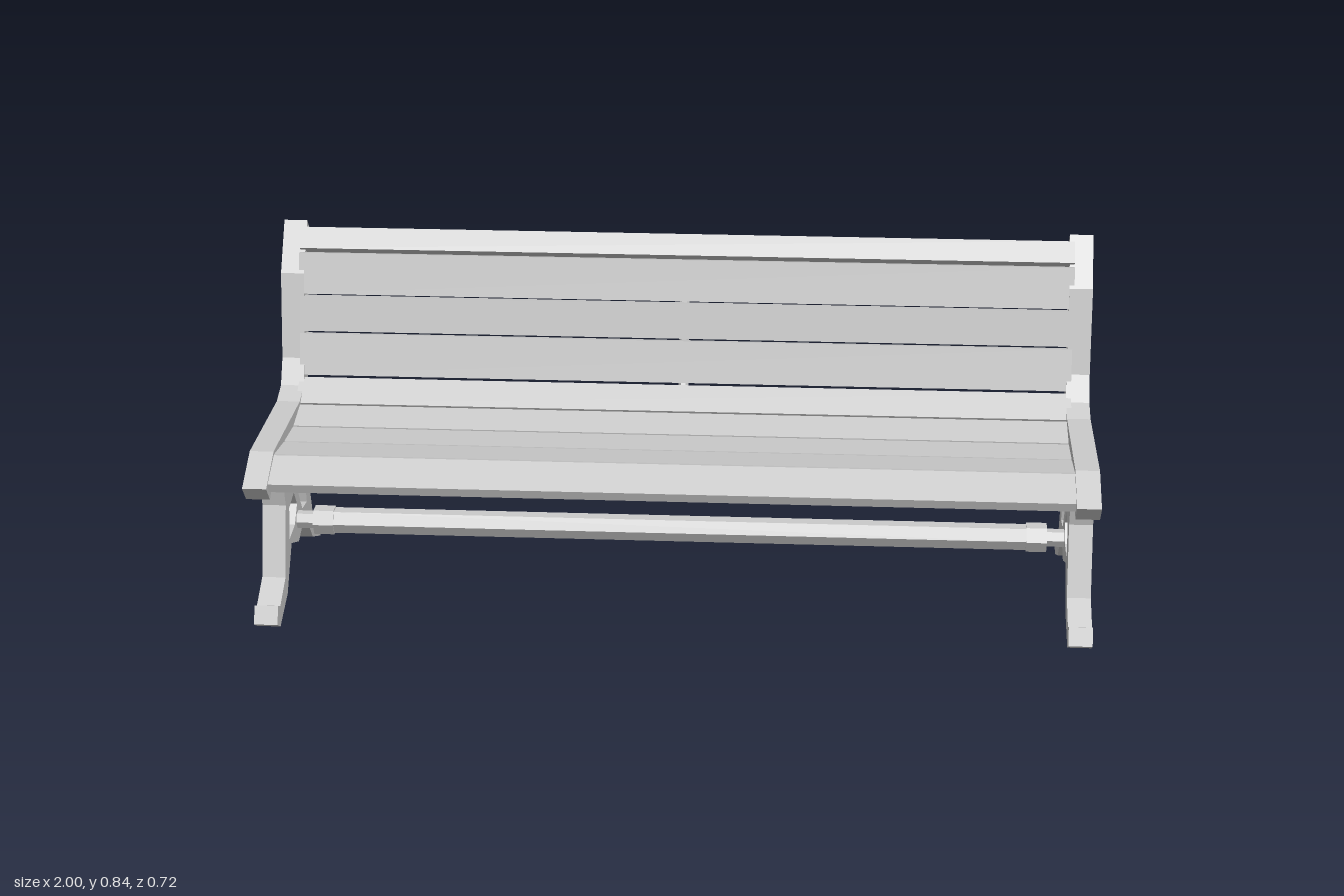
import * as THREE from 'three';

const material = new THREE.MeshStandardMaterial({ color: 0xcccccc, flatShading: true });
const toVectors = (points) => points.map(([z, y]) => new THREE.Vector2(z, y));

// Extrude a side profile given as [z, y] points along x, centred on x = 0
function extrudeProfile(points, width, holes = []) {
  const shape = new THREE.Shape(toVectors(points));
  holes.forEach((h) => shape.holes.push(new THREE.Path(toVectors(h))));
  const geometry = new THREE.ExtrudeGeometry(shape, { depth: width, bevelEnabled: false });
  return geometry.translate(0, 0, -width / 2).rotateY(-Math.PI / 2);
}

function addMesh(parent, name, geometry, x = 0, y = 0, z = 0) {
  const mesh = new THREE.Mesh(geometry, material);
  mesh.name = name;
  mesh.position.set(x, y, z);
  parent.add(mesh);
  return mesh;
}

// A board whose visible face runs from a to b, with its thickness behind it
function slatGeometry(a, b, width, thickness = 0.025, gap = 0.003) {
  const start = new THREE.Vector2(...a), end = new THREE.Vector2(...b);
  const dir = end.clone().sub(start).normalize();
  const back = new THREE.Vector2(dir.y, -dir.x).multiplyScalar(-thickness);
  start.addScaledVector(dir, gap);
  end.addScaledVector(dir, -gap);
  const corners = [start, end, end.clone().add(back), start.clone().add(back)];
  return extrudeProfile(corners.map((c) => [c.x, c.y]), width);
}

export function createModel() {
  const bench = new THREE.Group();
  bench.name = 'bench';

  // Cast end frames: feet, legs, seat panel, curled front and back upright
  const frameOutline = [
    [0.31, 0.02], [0.275, 0], [0.17, 0.04], [0.092, 0.14], [0, 0.105], [-0.09, 0.14],
    [-0.18, 0.04], [-0.28, 0], [-0.315, 0.022], [-0.298, 0.06], [-0.27, 0.05],
    [-0.197, 0.09], [-0.147, 0.255], [-0.183, 0.41], [-0.232, 0.485], [-0.285, 0.71],
    [-0.297, 0.753], [-0.357, 0.787], [-0.302, 0.844], [-0.225, 0.73], [-0.19, 0.52],
    [-0.155, 0.46], [-0.095, 0.44], [0.25, 0.444], [0.358, 0.392], [0.32, 0.35],
    [0.25, 0.4], [0.17, 0.37], [0.14, 0.26], [0.187, 0.09], [0.265, 0.05], [0.292, 0.062],
  ];
  const frameHoles = [
    [[0.1, 0.237], [0.035, 0.25], [0.002, 0.207], [0.04, 0.167], [0.115, 0.16]],
    [[-0.022, 0.225], [-0.1, 0.255], [-0.125, 0.16], [-0.062, 0.167]],
  ];
  const frameGeometry = extrudeProfile(frameOutline, 0.057, frameHoles);
  addMesh(bench, 'leftEndFrame', frameGeometry, 0.9715);
  addMesh(bench, 'rightEndFrame', frameGeometry, -0.9715);

  // Slats following a dipped seat and a leaning backrest
  const sitting = [
    [0.342, 0.395], [0.247, 0.436], [0.122, 0.419], [0.002, 0.412], [-0.1, 0.432],
    [-0.175, 0.478], [-0.2, 0.585], [-0.216, 0.677], [-0.24, 0.782],
  ];
  const slats = new THREE.Group();
  slats.name = 'slats';
  bench.add(slats);
  for (let i = 0; i < sitting.length - 1; i++) {
    const name = i < 5 ? 'seatSlat' : 'backSlat';
    addMesh(slats, name + (i + 1), slatGeometry(sitting[i], sitting[i + 1], 1.91));
  }

  // Thick top rail held by the scrolls of the frames
  addMesh(bench, 'topRail', extrudeProfile(
    [[-0.25, 0.788], [-0.292, 0.83], [-0.343, 0.782], [-0.298, 0.755]], 1.91));

  // Round centre strap behind the backrest and under the seat
  const strapPath = new THREE.CatmullRomCurve3([
    [-0.288, 0.765], [-0.263, 0.67], [-0.242, 0.58], [-0.222, 0.48], [-0.185, 0.43],
    [-0.1, 0.398], [0, 0.386], [0.12, 0.39], [0.23, 0.405],
  ].map(([z, y]) => new THREE.Vector3(0, y, z)));
  addMesh(bench, 'centreStrap', new THREE.TubeGeometry(strapPath, 24, 0.012, 6));

  // Stretcher between the frames, with collars and narrow pins at both ends
  const bar = (radius, length) =>
    new THREE.CylinderGeometry(radius, radius, length, 6).rotateZ(Math.PI / 2);
  const stretcherY = 0.165;
  addMesh(bench, 'stretcher', bar(0.032, 1.74), 0, stretcherY);
  for (const [side, s] of [['left', 1], ['right', -1]]) {
    addMesh(bench, side + 'Collar', bar(0.036, 0.05), s * 0.875, stretcherY);
    addMesh(bench, side + 'Pin', bar(0.022, 0.07), s * 0.925, stretcherY);
  }
  return bench;
}
